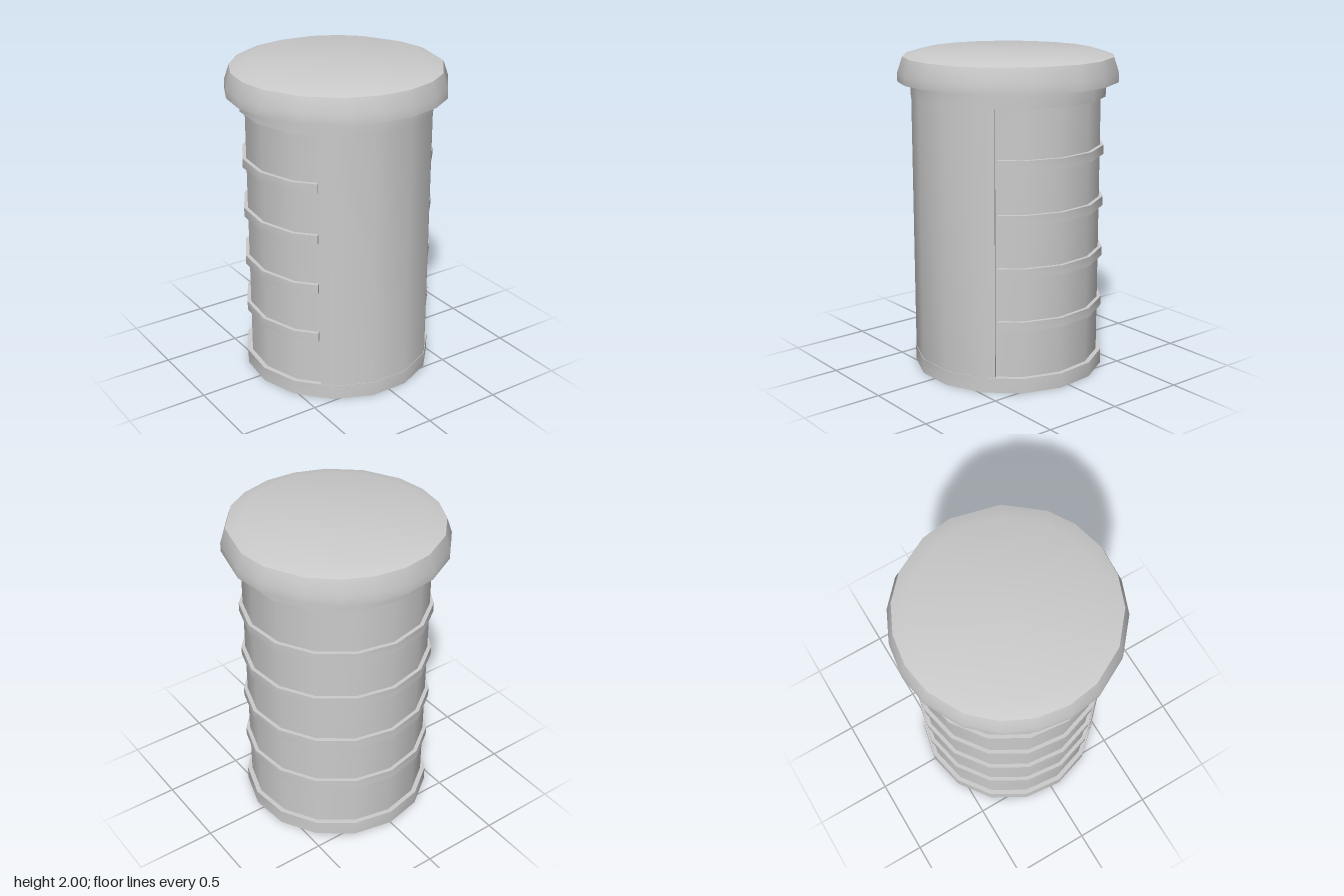
import * as THREE from 'three';
import { toCreasedNormals } from 'three/addons/utils/BufferGeometryUtils.js';

const SIDES = 15;
const STEP = (2 * Math.PI) / SIDES;
const CREASE = 0.6;
const material = new THREE.MeshStandardMaterial({ color: 0xcccccc });

function add(group, name, geometry) {
  const mesh = new THREE.Mesh(toCreasedNormals(geometry, CREASE), material);
  mesh.name = name;
  group.add(mesh);
}

// Full 15-sided drum with one corner pointing straight back
function drum(radius, y0, y1) {
  return new THREE.CylinderGeometry(radius, radius, y1 - y0, SIDES, 1, false, Math.PI)
    .translate(0, (y0 + y1) / 2, 0);
}

// Points along the 15-sided outline between two angles (0 = front, positive toward +x)
function outline(radius, a0, a1) {
  const angles = [a0];
  for (let k = -SIDES; k <= 2 * SIDES; k++) {
    const a = (k + 0.5) * STEP;
    if (a > a0 + 0.01 && a < a1 - 0.01) angles.push(a);
  }
  angles.push(a1);
  return angles.map((a) => {
    const fromMiddle = a - Math.round(a / STEP) * STEP;
    const r = (radius * Math.cos(STEP / 2)) / Math.cos(fromMiddle);
    return new THREE.Vector2(r * Math.sin(a), -r * Math.cos(a));
  });
}

// Curved slab following part of the outline
function slab(inner, outer, a0, a1, y0, y1) {
  const shape = new THREE.Shape([...outline(outer, a0, a1), ...outline(inner, a0, a1).reverse()]);
  return new THREE.ExtrudeGeometry(shape, { depth: y1 - y0, bevelEnabled: false })
    .rotateX(-Math.PI / 2)
    .translate(0, y0, 0);
}

// Rounded lid with slightly uneven, hand-cut corners
function lid() {
  const corners = [0, 17, 34, 51, 73, 90, 117, 141, 157, 175, 192, 210, 231, 253, 270, 287, 304, 322, 343, 360]
    .map((a) => THREE.MathUtils.degToRad(180 - a))
    .reverse();
  const profile = [[0, 1.82], [0.68, 1.82], [0.68, 1.875], [0.648, 1.97], [0.55, 2], [0, 2]]
    .map(([r, y]) => new THREE.Vector2(r, y));
  const geometry = new THREE.LatheGeometry(profile, corners.length - 1);
  const pos = geometry.attributes.position;
  for (let i = 0; i < pos.count; i++) {
    const a = corners[Math.floor(i / profile.length)];
    const r = profile[i % profile.length].x;
    pos.setX(i, r * Math.sin(a));
    pos.setZ(i, r * Math.cos(a));
  }
  return geometry;
}

export function createModel() {
  const group = new THREE.Group();
  group.name = 'ribbedCanister';

  add(group, 'baseRing', drum(0.6, 0, 0.093));
  add(group, 'body', drum(0.57, 0.09, 1.73));
  add(group, 'neckRing', drum(0.6, 1.727, 1.825));
  add(group, 'lid', lid());

  // Raised plain panel across the front
  const panelEdge = THREE.MathUtils.degToRad(43.5);
  add(group, 'frontPanel', slab(0.55, 0.597, -panelEdge, panelEdge, 0.09, 1.73));

  // Four ribs wrapping round the back, ending just short of the panel
  const ribEdge = THREE.MathUtils.degToRad(45);
  for (const y of [0.42, 0.75, 1.075, 1.4]) {
    add(group, 'rib', slab(0.55, 0.594, ribEdge, 2 * Math.PI - ribEdge, y - 0.029, y + 0.029));
  }
  return group;
}
